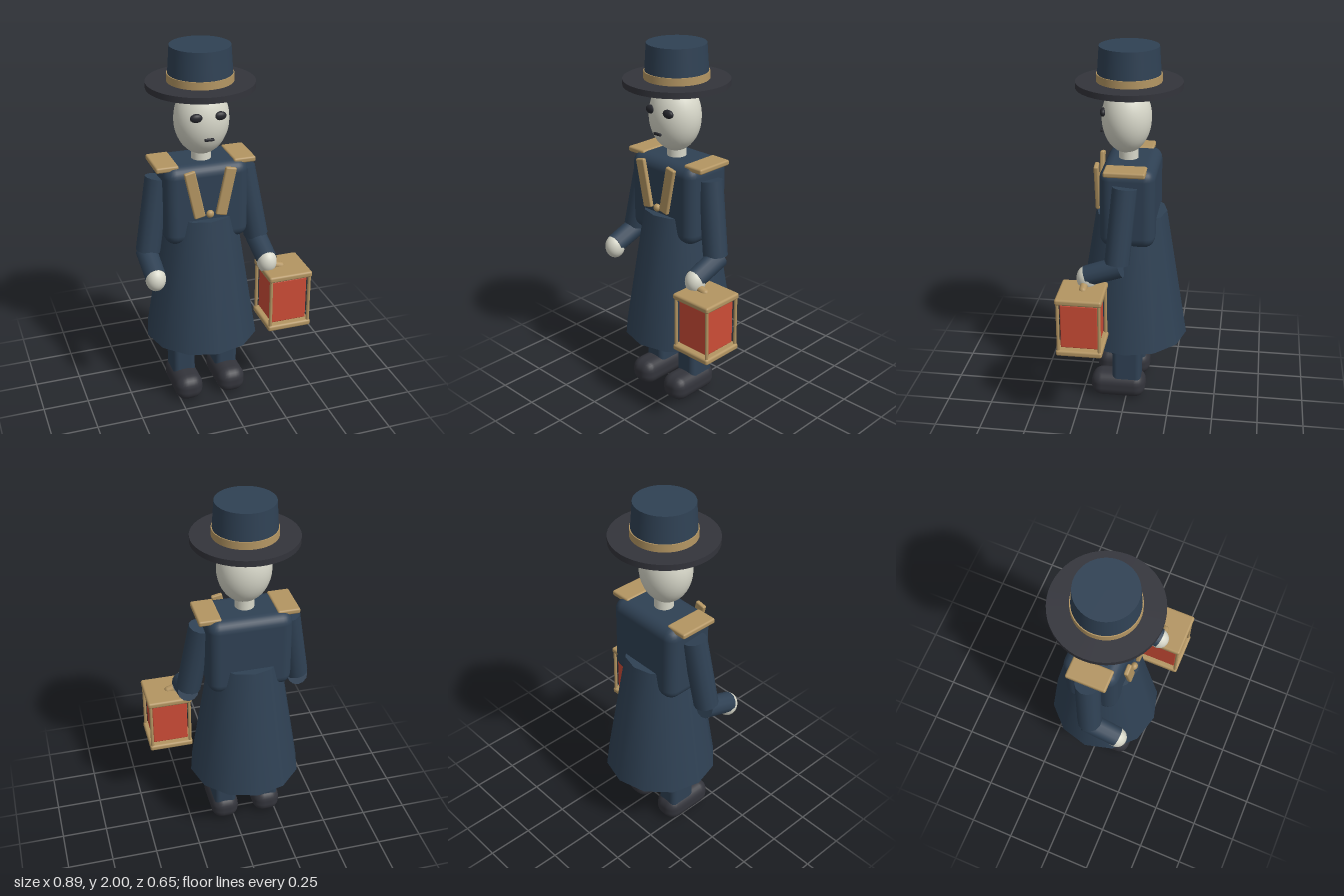
import * as THREE from 'three';
import { RoundedBoxGeometry } from 'three/addons/geometries/RoundedBoxGeometry.js';

const paint = (color) => new THREE.MeshStandardMaterial({ color });
const navy = paint(0x2f4154), dark = paint(0x33343b), gold = paint(0xb39562);
const skin = paint(0xd8d8ca), red = paint(0xcc4c36), ink = paint(0x26272d);

const CX = -0.075; // the figure's own axis; the lantern widens the left side

export function createModel() {
  const model = new THREE.Group();
  model.name = 'lanternBearer';

  const add = (name, geometry, material, x, y, z, parent = model) => {
    const mesh = new THREE.Mesh(geometry, material);
    mesh.name = name;
    mesh.position.set(x, y, z);
    parent.add(mesh);
    return mesh;
  };
  const box = (w, h, d, r) => new RoundedBoxGeometry(w, h, d, 3, r);
  const ellipsoid = (rx, ry, rz) => new THREE.SphereGeometry(1, 32, 20).scale(rx, ry, rz);
  // Round bar between two points
  const bar = (name, a, b, ra, rb, material) => {
    const from = new THREE.Vector3(...a), to = new THREE.Vector3(...b);
    const dir = to.clone().sub(from);
    const mesh = add(name, new THREE.CylinderGeometry(rb, ra, dir.length(), 12), material, 0, 0, 0);
    mesh.position.addVectors(from, to).multiplyScalar(0.5);
    mesh.quaternion.setFromUnitVectors(new THREE.Vector3(0, 1, 0), dir.normalize());
    return mesh;
  };

  // Coat
  add('torso', box(0.455, 0.44, 0.295, 0.06), navy, CX, 1.18, -0.01);
  add('coatSkirt', new THREE.CylinderGeometry(0.193, 0.312, 0.74, 12), navy, CX, 0.732, -0.012);

  // Head and face
  add('neck', new THREE.CylinderGeometry(0.052, 0.052, 0.12, 24), skin, CX, 1.43, 0.005);
  add('head', ellipsoid(0.145, 0.19, 0.132), skin, CX, 1.62, 0.016);
  add('mouth', box(0.05, 0.014, 0.014, 0.004), ink, CX, 1.546, 0.147);

  // Hat
  add('hatBrim', new THREE.CylinderGeometry(0.28, 0.28, 0.032, 48), dark, CX, 1.8, 0.003);
  add('hatCrown', new THREE.CylinderGeometry(0.156, 0.169, 0.19, 48), navy, CX, 1.905, 0.003);
  add('hatBand', new THREE.CylinderGeometry(0.171, 0.172, 0.04, 48), gold, CX, 1.837, 0.003);

  // Mirrored parts
  for (const [side, s] of [['right', -1], ['left', 1]]) {
    const at = (d) => CX + s * d;
    add(side + 'Eye', ellipsoid(0.034, 0.023, 0.018), ink, at(0.062), 1.662, 0.13);
    add(side + 'Epaulette', box(0.121, 0.03, 0.218, 0.01), gold, at(0.209), 1.392, -0.003);
    add(side + 'Lapel', box(0.06, 0.265, 0.024, 0.008), gold, at(0.085), 1.26, 0.162)
      .rotation.z = -s * 0.21;

    bar(side + 'UpperArm', [at(0.235), 1.315, -0.005], [at(0.305), 0.915, 0.028], 0.066, 0.066, navy);
    bar(side + 'Forearm', [at(0.31), 0.9, 0.01], [at(0.31), 0.836, 0.19], 0.058, 0.056, navy);
    add(side + 'Hand', ellipsoid(0.054, 0.067, 0.056), skin, at(0.31), 0.825, 0.187);

    add(side + 'Leg', box(0.127, 0.5, 0.163, 0.03), navy, at(0.124), 0.33, -0.003);
    add(side + 'Shoe', box(0.157, 0.148, 0.308, 0.062), dark, at(0.124), 0.076, 0.046);
  }
  add('button', ellipsoid(0.021, 0.021, 0.018), gold, CX, 1.14, 0.157);

  // Lantern hanging from the left hand
  const lantern = new THREE.Group();
  lantern.name = 'lantern';
  lantern.position.set(0.325, 0.626, 0.202);
  model.add(lantern);
  add('lanternGlass', box(0.198, 0.25, 0.198, 0.006), red, 0, 0, 0, lantern);
  for (const [name, s] of [['lanternTop', 1], ['lanternBase', -1]]) {
    add(name, box(0.246, 0.034, 0.246, 0.012), gold, 0, s * 0.15, 0, lantern);
  }
  for (const sx of [-1, 1]) for (const sz of [-1, 1]) {
    add('lanternPost', new THREE.CylinderGeometry(0.009, 0.009, 0.28, 10), gold, sx * 0.109, 0, sz * 0.109, lantern);
  }
  add('lanternHandle', new THREE.CapsuleGeometry(0.021, 0.07, 6, 16), gold, -0.045, 0.173, -0.006, lantern)
    .rotation.z = 1.25;

  return model;
}
